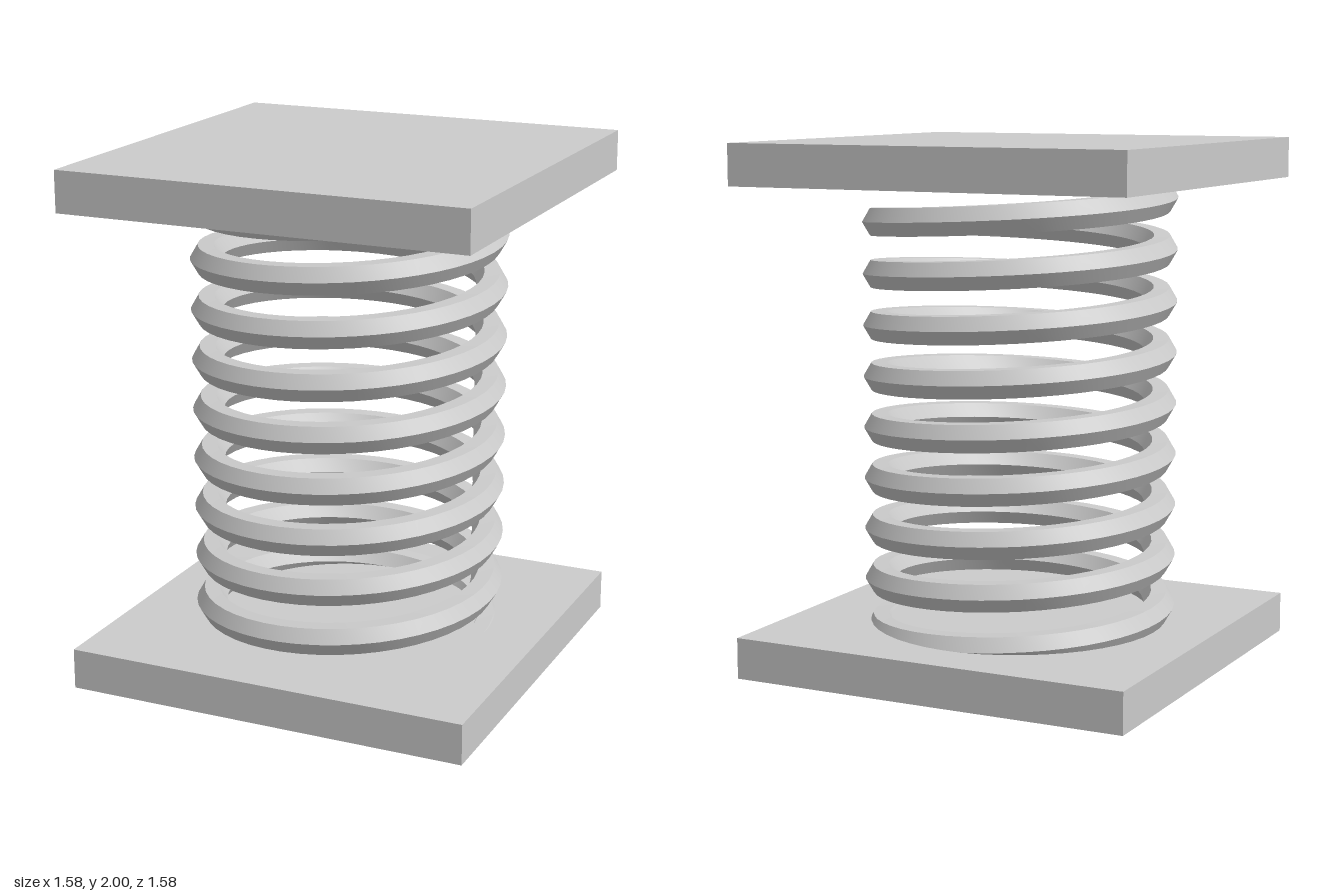
import * as THREE from 'three';
import { toCreasedNormals } from 'three/addons/utils/BufferGeometryUtils.js';

const PLATE = 1.58, THICK = 0.157;
const COIL_R = 0.54, WIRE_R = 0.06, PITCH = 0.1965, START_Y = 0.105;
const SIDES = 6, STEPS_PER_TURN = 48;

// Hexagonal wire swept along a helix, its section kept upright and radial.
function coilGeometry(t0, t1) {
  const steps = Math.round((t1 - t0) / (2 * Math.PI) * STEPS_PER_TURN);
  const positions = [], index = [];
  for (let i = 0; i <= steps; i++) {
    const t = t0 + (t1 - t0) * i / steps;
    const y = START_Y + PITCH * t / (2 * Math.PI);
    for (let j = 0; j < SIDES; j++) {
      const a = j / SIDES * 2 * Math.PI;
      const r = COIL_R + WIRE_R * Math.cos(a);
      positions.push(r * Math.cos(t), y + WIRE_R * Math.sin(a), -r * Math.sin(t));
      if (i === steps) continue;
      const p = i * SIDES + j, q = i * SIDES + (j + 1) % SIDES;
      index.push(p, p + SIDES, q, q, p + SIDES, q + SIDES);
    }
  }
  // End caps
  const last = steps * SIDES;
  for (let j = 1; j < SIDES - 1; j++) {
    index.push(0, j, j + 1, last, last + j + 1, last + j);
  }
  const geometry = new THREE.BufferGeometry();
  geometry.setAttribute('position', new THREE.Float32BufferAttribute(positions, 3));
  geometry.setIndex(index);
  return toCreasedNormals(geometry, Math.PI / 6);
}

export function createModel() {
  const model = new THREE.Group();
  model.name = 'springBetweenPlates';
  const material = new THREE.MeshStandardMaterial({ color: 0xcccccc });

  // Square end plates
  const plateGeometry = new THREE.BoxGeometry(PLATE, THICK, PLATE);
  for (const [name, y] of [['bottomPlate', THICK / 2], ['topPlate', 2 - THICK / 2]]) {
    const plate = new THREE.Mesh(plateGeometry, material);
    plate.name = name;
    plate.position.y = y;
    model.add(plate);
  }

  // Coil spring, both ends sunk into the plates
  const spring = new THREE.Mesh(coilGeometry(-0.3, 18.6 * Math.PI), material);
  spring.name = 'coilSpring';
  model.add(spring);

  return model;
}
